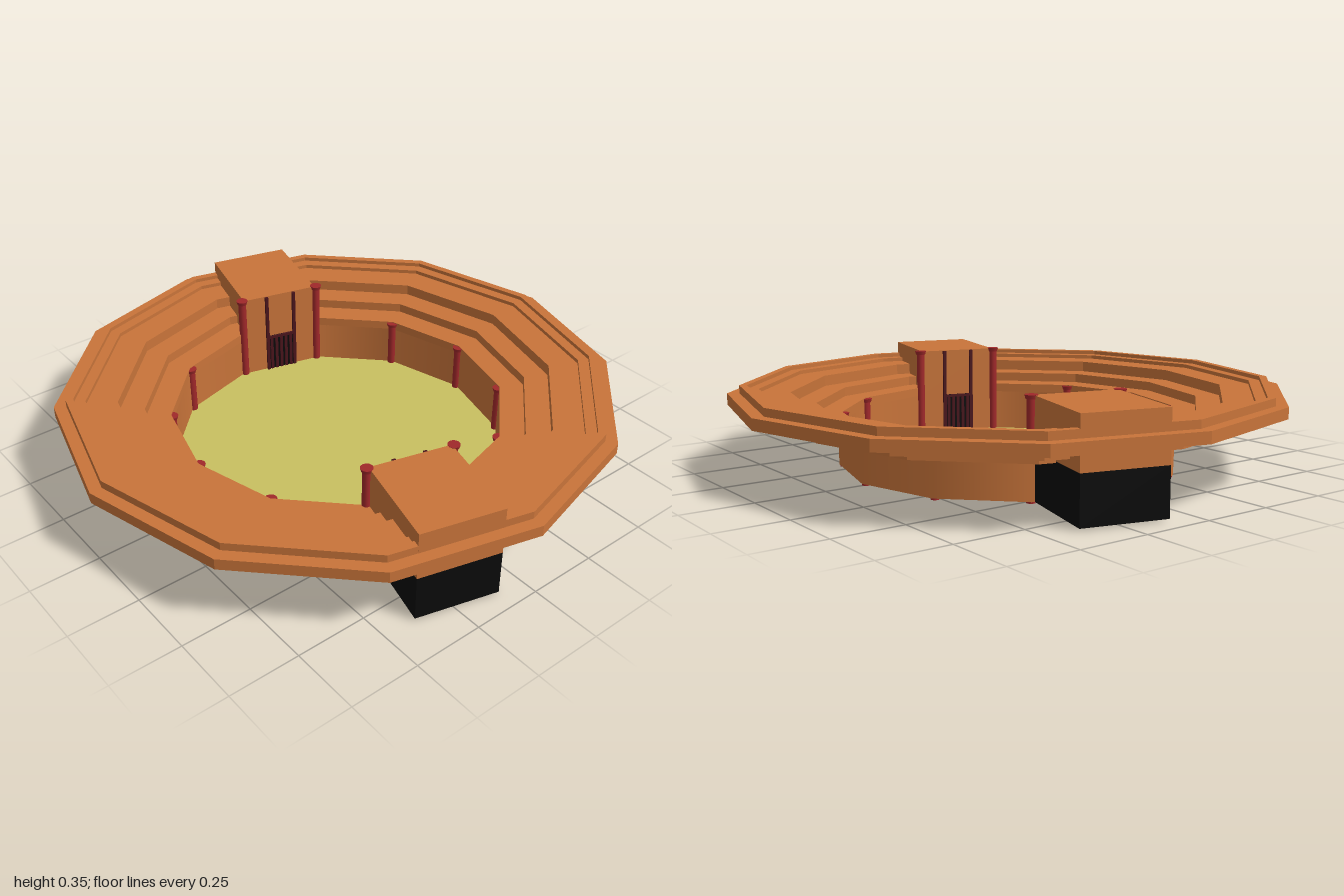
import * as THREE from 'three';

const mat = (name, color) => {
  const m = new THREE.MeshStandardMaterial({ color });
  m.name = name;
  return m;
};

export function createModel() {
  const clay = mat('clay', 0xc8743a);
  const sand = mat('sand', 0xc8c060);
  const red = mat('red', 0xa0282a);
  const maroon = mat('maroon', 0x4a151c);
  const black = mat('black', 0x0a0a0a);
  const SIDES = 12;
  const model = new THREE.Group();
  model.name = 'arena';

  const add = (parent, name, geometry, material, x = 0, y = 0, z = 0) => {
    const mesh = new THREE.Mesh(geometry, material);
    mesh.name = name;
    mesh.position.set(x, y, z);
    parent.add(mesh);
    return mesh;
  };

  // Twelve-sided ring with a rectangular section, hard or smooth edged
  const ring = (inner, outer, y0, y1) => {
    const pts = [[inner, y0], [outer, y0], [outer, y1], [inner, y1], [inner, y0]]
      .map(([r, y]) => new THREE.Vector2(r, y));
    const g = new THREE.LatheGeometry(pts, SIDES).toNonIndexed();
    g.computeVertexNormals();
    return g;
  };
  const wallFace = (r, up) => {
    const ys = up ? [0.008, 0.166] : [0.166, 0.008];
    return new THREE.LatheGeometry(ys.map((y) => new THREE.Vector2(r, y)), SIDES);
  };

  // Floor and smooth pit wall
  add(model, 'floorBase', new THREE.CylinderGeometry(0.614, 0.614, 0.004, SIDES), clay, 0, 0.008, 0);
  add(model, 'sandFloor', new THREE.CylinderGeometry(0.6, 0.6, 0.004, SIDES), sand, 0, 0.012, 0);
  add(model, 'outerWall', wallFace(0.615, true), clay);
  add(model, 'innerWall', wallFace(0.6, false), clay);

  // Stepped seating and rim: inner radius, outer radius, bottom, top
  const tiers = [
    [0.6, 0.78, 0.165, 0.198],
    [0.69, 0.885, 0.198, 0.232],
    [0.78, 1.0, 0.232, 0.272],
    [0.89, 0.94, 0.272, 0.286],
    [0.93, 0.957, 0.272, 0.3],
  ];
  tiers.forEach(([a, b, y0, y1], i) => {
    add(model, i < 3 ? `seatTier${i + 1}` : `rim${i - 2}`, ring(a, b, y0, y1), clay);
  });

  // Columns at every corner; the ones flanking the gates are tall
  const tall = [0, 1, 6, 7];
  for (let i = 0; i < SIDES; i++) {
    const a = (i * Math.PI) / 6;
    const h = tall.includes(i) ? 0.347 : 0.195;
    const column = new THREE.Group();
    column.name = 'column';
    column.position.set(0.597 * Math.cos(a), 0, 0.597 * Math.sin(a));
    add(column, 'columnShaft', new THREE.CylinderGeometry(0.015, 0.015, h, 12), red, 0, h / 2, 0);
    add(column, 'columnCap', new THREE.CylinderGeometry(0.022, 0.018, 0.014, 12), red, 0, h - 0.007, 0);
    model.add(column);
  }

  // Gatehouse built along +x, then turned into place on both sides
  const gatehouse = (angle) => {
    const g = new THREE.Group();
    g.name = 'gatehouse';
    g.rotation.y = -angle;
    const box = (name, m, x0, x1, y0, y1, w, z = 0) =>
      add(g, name, new THREE.BoxGeometry(x1 - x0, y1 - y0, w), m, (x0 + x1) / 2, (y0 + y1) / 2, z);
    box('gatehouseTop', clay, 0.574, 0.925, 0.17, 0.345, 0.296);
    box('gatehouseFront', clay, 0.574, 0.588, 0.006, 0.17, 0.296);
    box('gatePassage', black, 0.588, 0.925, 0.006, 0.17, 0.296);
    box('gateOpening', black, 0.571, 0.575, 0.014, 0.165, 0.1);
    for (const s of [-1, 1]) box('gatePost', maroon, 0.564, 0.576, 0.012, 0.343, 0.012, s * 0.056);
    for (let i = -2; i <= 2; i++) box('gateBar', maroon, 0.566, 0.572, 0.014, 0.165, 0.011, i * 0.02);
    box('gateLintel', maroon, 0.566, 0.574, 0.155, 0.165, 0.1);
    model.add(g);
  };
  gatehouse(Math.PI / 12);
  gatehouse(Math.PI / 12 + Math.PI);

  return model;
}
